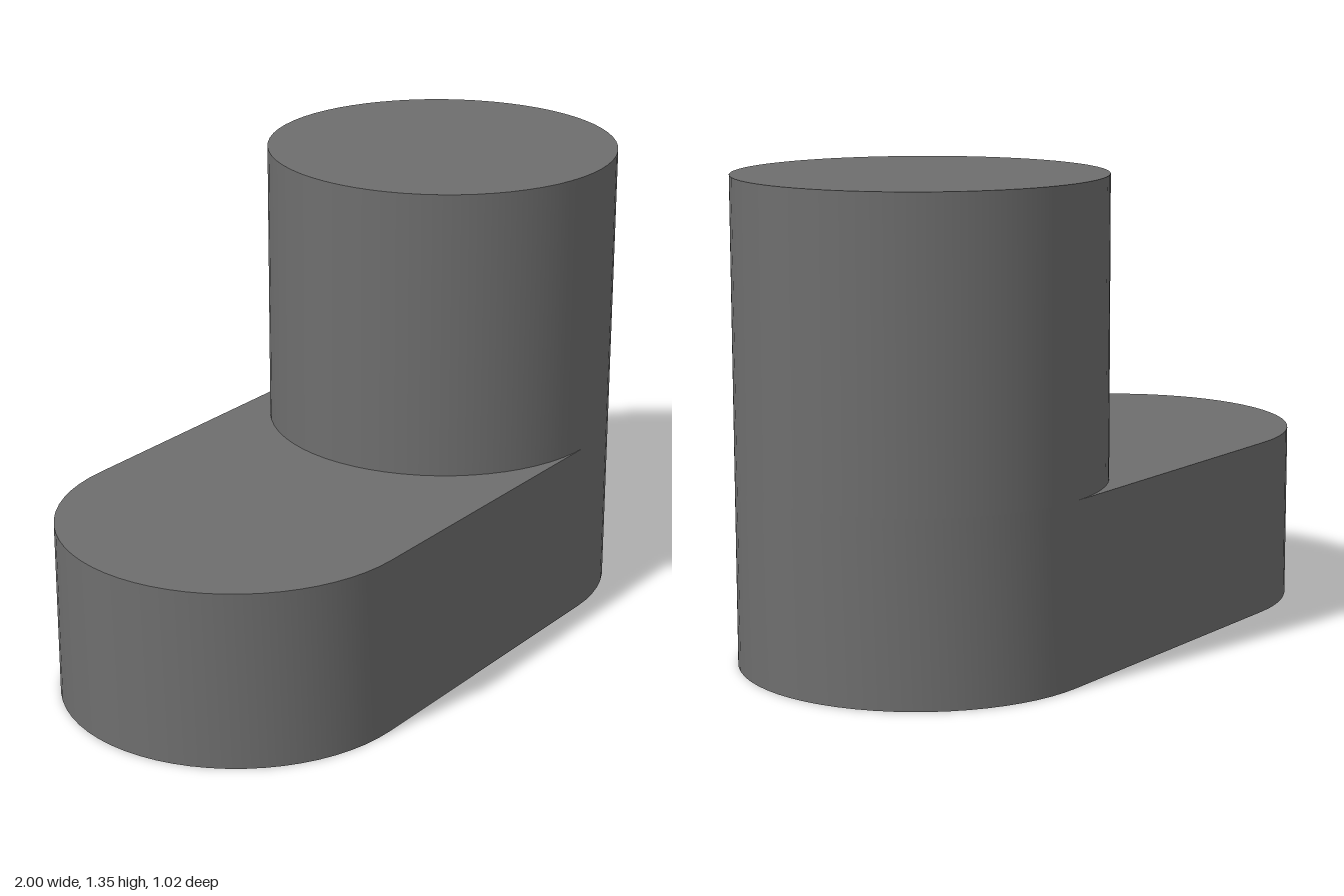
import * as THREE from 'three';
import { toCreasedNormals } from 'three/addons/utils/BufferGeometryUtils.js';

const RADIUS = 0.512;
const CENTRE = 1 - RADIUS; // distance of each rounded end's axis from the middle
const BASE_HEIGHT = 0.512;
const TOTAL_HEIGHT = 1.349;

export function createModel() {
  const group = new THREE.Group();
  const material = new THREE.MeshStandardMaterial({ color: 0x6e6e6e });

  // Base: a slab with two half-round ends
  const outline = new THREE.Shape();
  outline.absarc(CENTRE, 0, RADIUS, -Math.PI / 2, Math.PI / 2);
  outline.absarc(-CENTRE, 0, RADIUS, Math.PI / 2, Math.PI * 1.5);
  const slab = new THREE.ExtrudeGeometry(outline, {
    depth: BASE_HEIGHT,
    bevelEnabled: false,
    curveSegments: 16,
  });
  slab.rotateX(-Math.PI / 2);
  const base = new THREE.Mesh(toCreasedNormals(slab, 0.5), material);
  base.name = 'base';
  group.add(base);

  // Post: a cylinder flush with the left end of the base
  const height = TOTAL_HEIGHT - BASE_HEIGHT;
  const post = new THREE.Mesh(
    new THREE.CylinderGeometry(RADIUS, RADIUS, height, 64),
    material
  );
  post.name = 'post';
  post.position.set(CENTRE, BASE_HEIGHT + height / 2, 0);
  group.add(post);

  return group;
}
